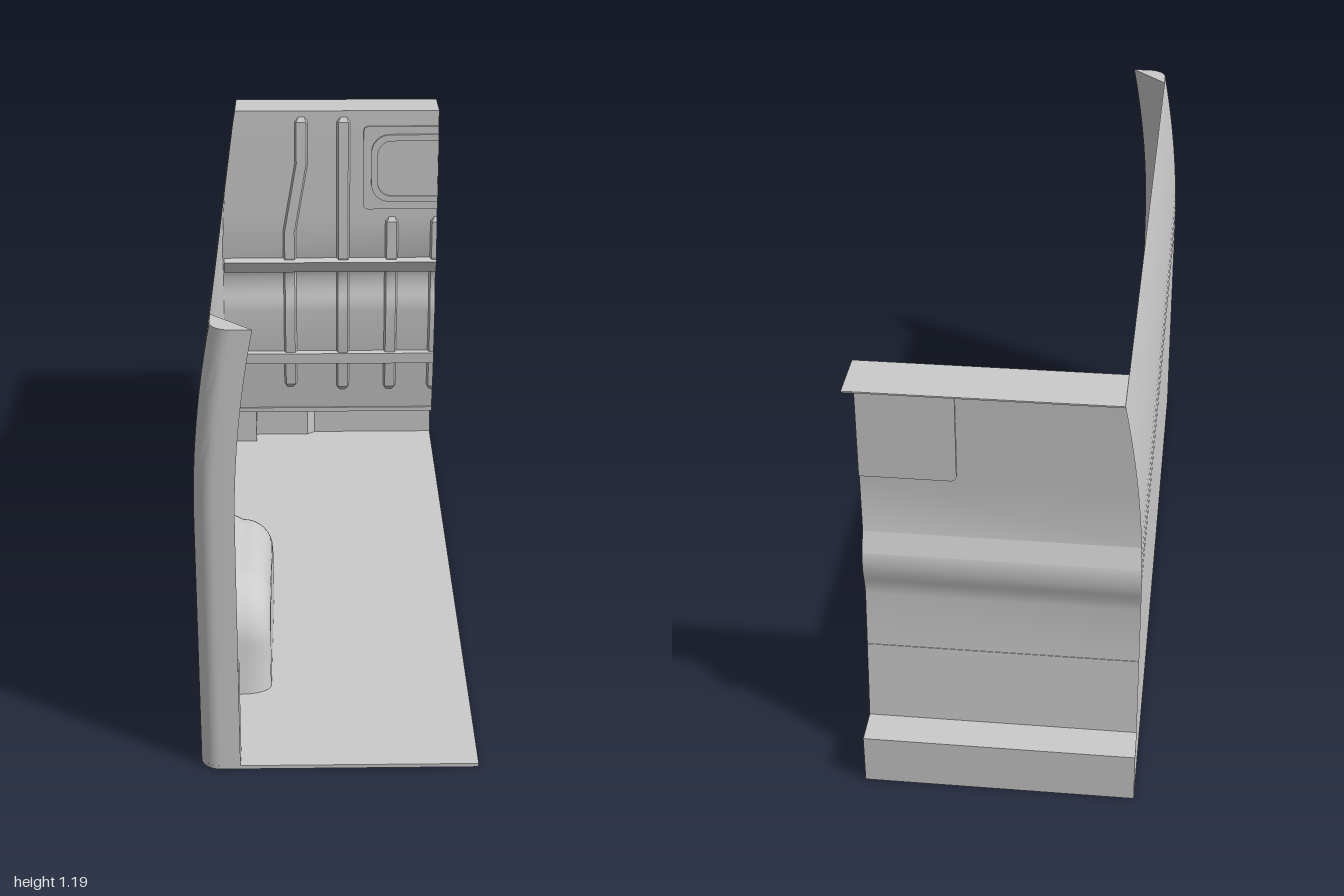
import * as THREE from 'three';
import { toCreasedNormals } from 'three/addons/utils/BufferGeometryUtils.js';

const TOP = 1.19, RIGHT = 0.35;
const mat = new THREE.MeshStandardMaterial({ color: 0xcccccc, side: THREE.DoubleSide });

// Side wall: vertical below, leaning inwards towards the roof
const lean = (y) => 0.05 * Math.max(0, (y - 0.68) / 0.51) ** 2;
const wallX = (y) => -0.35 + lean(y);

// Rear bulkhead profile, [y, z] from bottom to top
const PROFILE = [[0.14, -0.905], [0.36, -0.882], [0.51, -0.868], [0.535, -0.87], [0.56, -0.877],
  [0.585, -0.884], [0.62, -0.885], [0.645, -0.88], [0.67, -0.868], [0.7, -0.857], [0.85, -0.857], [1, -0.858], [1.1, -0.859], [TOP, -0.862]];

function bulkheadZ(y) {
  let i = 0;
  while (i < PROFILE.length - 2 && y > PROFILE[i + 1][0]) i++;
  const [y0, z0] = PROFILE[i], [y1, z1] = PROFILE[i + 1];
  return z0 + (z1 - z0) * (y - y0) / (y1 - y0);
}

// Surface through rows of [x, y, z] points
function loft(rows, crease = 0.5) {
  const n = rows[0].length, index = [];
  for (let r = 0; r < rows.length - 1; r++) {
    for (let c = 0; c < n - 1; c++) {
      const a = r * n + c, b = a + n;
      index.push(a, a + 1, b + 1, a, b + 1, b);
    }
  }
  const g = new THREE.BufferGeometry();
  g.setAttribute('position', new THREE.Float32BufferAttribute(rows.flat(2), 3));
  g.setIndex(index);
  return toCreasedNormals(g, crease);
}

function wallLevels(from = 0) {
  const ys = [from, 0.68];
  for (let i = 1; i <= 12; i++) ys.push(0.68 + 0.51 * i / 12);
  return ys;
}

// Outline open to the right edge, with rounded corners on the left
function leftRounded(Type, x, y0, y1, r) {
  const s = new Type();
  s.moveTo(RIGHT, y0);
  s.lineTo(x + r, y0);
  s.absarc(x + r, y0 + r, r, -Math.PI / 2, Math.PI, true);
  s.lineTo(x, y1 - r);
  s.absarc(x + r, y1 - r, r, Math.PI, Math.PI / 2, true);
  s.lineTo(RIGHT, y1);
  s.closePath();
  return s;
}

// Raised rib pressed into the bulkhead; path is [x, y] from bottom to top
function ribGeometry(path, w = 0.021, h = 0.012) {
  const y0 = path[0][1], y1 = path.at(-1)[1];
  const xAt = (y) => {
    let i = 0;
    while (i < path.length - 2 && y > path[i + 1][1]) i++;
    const [a, b] = [path[i], path[i + 1]];
    return a[0] + (b[0] - a[0]) * (y - a[1]) / (b[1] - a[1]);
  };
  const inner = [...PROFILE, ...path.map((p) => [p[1]])].map((p) => p[0])
    .filter((y) => y > y0 + 0.016 && y < y1 - 0.016);
  const ys = [y0, y0 + 0.015, ...new Set(inner), y1 - 0.015, y1].sort((a, b) => a - b);
  return loft(ys.map((y, i) => {
    const end = i === 0 || i === ys.length - 1;
    const half = end ? w * 0.5 : w;
    return [[-1, 0], [-0.75, h], [0.75, h], [1, 0]].map(([k, d]) =>
      [Math.min(RIGHT, xAt(y) + k * half), y, bulkheadZ(y) + (end ? 0 : d) + 0.0005]);
  }), 0.3);
}

// Wheel arch outline at distance d in from its base outline
function archRow(x, d) {
  const a = 0.315 - d * 0.5, r = 0.17 - d * 0.45, h = 0.325 - d, slope = 0.022;
  const half = [[a, 0]];
  for (let i = 0; i <= 12; i++) {
    const t = (i / 12) * Math.PI / 2;
    half.push([a - slope - r + r * Math.cos(t), h - r + r * Math.sin(t)]);
  }
  const all = [...half, ...half.slice().reverse().map(([z, y]) => [-z, y])];
  return all.map(([z, y]) => [x, y, z + 0.375]);
}

export function createModel() {
  const model = new THREE.Group();
  const add = (name, geometry) => {
    const mesh = new THREE.Mesh(geometry, mat);
    mesh.name = name;
    model.add(mesh);
    return mesh;
  };
  const addBox = (name, x0, x1, y0, y1, z0, z1) =>
    add(name, new THREE.BoxGeometry(x1 - x0, y1 - y0, z1 - z0))
      .position.set((x0 + x1) / 2, (y0 + y1) / 2, (z0 + z1) / 2);

  // Floor with one rounded front corner
  const floor = new THREE.Shape();
  floor.moveTo(-0.35, 1);
  floor.lineTo(-0.35, -0.95);
  floor.absarc(-0.3, -0.95, 0.05, Math.PI, Math.PI * 1.5, false);
  floor.lineTo(RIGHT, -1);
  floor.lineTo(RIGHT, 1);
  floor.closePath();
  const floorGeo = new THREE.ExtrudeGeometry(floor, { depth: 0.01, bevelEnabled: false, curveSegments: 8 });
  add('floor', floorGeo.rotateX(-Math.PI / 2));

  // Side wall
  add('sideWall', loft(wallLevels().map((y) => [[wallX(y), y, -1], [wallX(y), y, 0.9]])));

  // Front corner post: rounded outside, diagonal inside
  const section = [[-0.35, 0.9]];
  for (let i = 0; i <= 8; i++) {
    const t = Math.PI - (i / 8) * Math.PI / 2;
    section.push([-0.3 + 0.05 * Math.cos(t), 0.95 + 0.05 * Math.sin(t)]);
  }
  section.push([-0.25, 1], [-0.35, 0.9]);
  add('cornerPost', loft(wallLevels().map((y) => section.map(([x, z]) => [x + lean(y), y, z]))));
  const cap = new THREE.Shape(section.map(([x, z]) => new THREE.Vector2(x + 0.05, -z)));
  add('cornerPostCap', new THREE.ShapeGeometry(cap).rotateX(-Math.PI / 2)).position.y = TOP;

  // Trim around the foot of the post
  const trim = new THREE.Shape([[-0.345, -0.895], [-0.28, -0.895], [-0.257, -0.91], [-0.25, -0.93],
    [-0.25, -0.999], [-0.3, -0.998]].map((p) => new THREE.Vector2(...p)));
  add('postTrim', new THREE.ExtrudeGeometry(trim, { depth: 0.275, bevelEnabled: false }).rotateX(-Math.PI / 2));

  // Wheel arch: straight flank, then a fillet into the flat inner face
  const rows = [archRow(-0.35, 0), archRow(-0.3, 0.008), archRow(-0.26, 0.028)];
  for (let i = 1; i <= 8; i++) {
    const t = (i / 8) * Math.PI / 2;
    rows.push(archRow(-0.26 + 0.083 * Math.sin(t), 0.028 + 0.085 * (1 - Math.cos(t))));
  }
  rows.push(rows.at(-1).map(() => [-0.177, 0, 0.375]));
  add('wheelArch', loft(rows, 0.7));

  // Rear bulkhead panel
  add('bulkhead', loft(PROFILE.map(([y, z]) => [[wallX(y), y, z], [RIGHT, y, z]]), 0.4));

  // Horizontal rails across the bulkhead, sections as [y, z]
  const rails = {
    upperRail: [[0.697, -0.858], [0.689, -0.833], [0.65, -0.85], [0.645, -0.882]],
    lowerRail: [[0.358, -0.884], [0.355, -0.861], [0.318, -0.863], [0.315, -0.888]],
  };
  for (const [name, pts] of Object.entries(rails)) {
    const s = new THREE.Shape(pts.map(([y, z]) => new THREE.Vector2(-z, y)));
    add(name, new THREE.ExtrudeGeometry(s, { depth: 0.695, bevelEnabled: false }).rotateY(Math.PI / 2))
      .position.x = -0.345;
  }

  // Vertical ribs
  [
    [[-0.13, 0.22], [-0.13, 0.79], [-0.09, 1.02], [-0.09, 1.17]],
    [[0.045, 0.21], [0.045, 1.17]],
    [[0.203, 0.21], [0.203, 0.838]],
    [[0.35, 0.21], [0.35, 0.838]],
  ].forEach((path, i) => add('rib' + (i + 1), ribGeometry(path)));

  // Window panel with a raised ring, showing as a plate on the outside
  const panel = leftRounded(THREE.Shape, 0.11, 0.865, 1.14, 0.015);
  add('windowPanel', new THREE.ExtrudeGeometry(panel, { depth: 0.014, bevelEnabled: false }))
    .position.z = -0.865;
  const ring = leftRounded(THREE.Shape, 0.135, 0.892, 1.115, 0.06);
  ring.holes.push(leftRounded(THREE.Path, 0.156, 0.911, 1.094, 0.045));
  ring.holes[0].curves.forEach((c) => c.v1 && [c.v1, c.v2].forEach((v) => { v.x = Math.min(v.x, 0.349); }));
  add('windowRing', new THREE.ExtrudeGeometry(ring, { depth: 0.008, bevelEnabled: false }))
    .position.z = -0.852;

  // Roof strip and rear sill
  addBox('roofStrip', -0.3, RIGHT, TOP - 0.004, TOP, -1, -0.86);
  addBox('sillLedge', -0.35, RIGHT, 0.125, 0.14, -1, -0.9);
  addBox('sillBack', -0.35, RIGHT, 0, 0.14, -1, -0.995);
  addBox('sillCorner', -0.35, -0.25, 0.01, 0.125, -0.995, -0.91);
  add('sillStep', loft([0.01, 0.125].map((y) =>
    [[-0.25, y, -0.965], [-0.075, y, -0.965], [-0.05, y, -0.985], [RIGHT, y, -0.985]])));

  return model;
}
